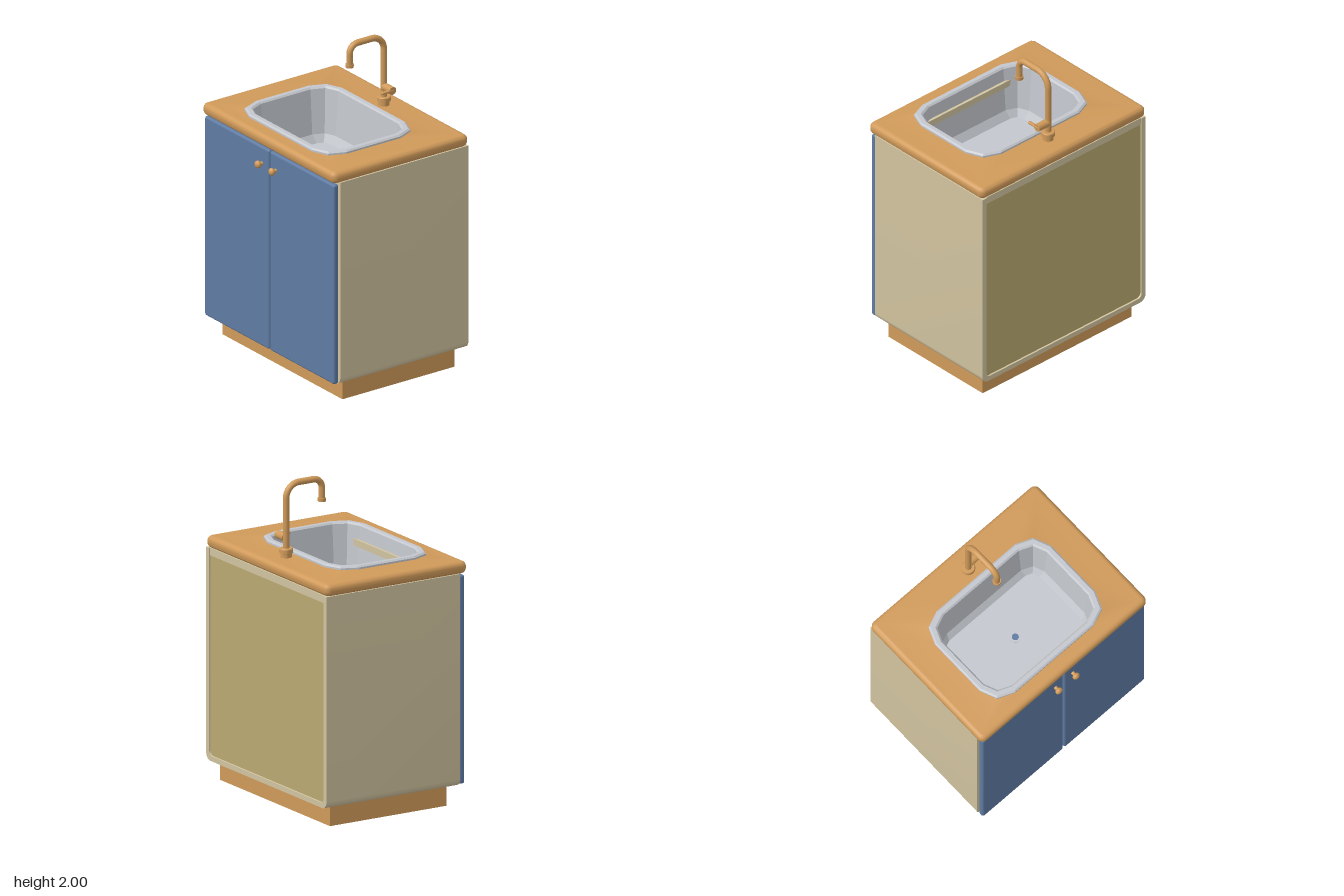
import * as THREE from 'three';
import { toCreasedNormals } from 'three/addons/utils/BufferGeometryUtils.js';
import { RoundedBoxGeometry } from 'three/addons/geometries/RoundedBoxGeometry.js';

const mat = (name, color, extra = {}) =>
  Object.assign(new THREE.MeshStandardMaterial({ color, ...extra }), { name });

// Closed outline of a rectangle with rounded corners, as [x, z] points
function outline(hx, z0, z1, r, seg = 2) {
  const pts = [];
  const corners = [[hx - r, z1 - r], [-hx + r, z1 - r], [-hx + r, z0 + r], [hx - r, z0 + r]];
  corners.forEach(([cx, cz], c) => {
    for (let i = 0; i <= seg; i++) {
      const a = (c + i / seg) * Math.PI / 2;
      pts.push([cx + r * Math.cos(a), cz + r * Math.sin(a)]);
    }
  });
  return pts;
}

// Skin between stacked outlines; the last one is closed with a fan
function basinGeometry(rows) {
  const pos = [], idx = [];
  const n = rows[0].pts.length;
  rows.forEach(({ pts, y }) => pts.forEach(([x, z]) => pos.push(x, y, z)));
  for (let j = 0; j < rows.length - 1; j++) {
    for (let i = 0; i < n; i++) {
      const k = (i + 1) % n;
      const a = j * n + i, b = j * n + k, c = a + n, d = b + n;
      idx.push(a, c, b, b, c, d);
    }
  }
  const base = (rows.length - 1) * n;
  for (let i = 1; i < n - 1; i++) idx.push(base, base + i + 1, base + i);
  const g = new THREE.BufferGeometry();
  g.setAttribute('position', new THREE.Float32BufferAttribute(pos, 3));
  g.setIndex(idx);
  const flat = g.toNonIndexed();
  flat.computeVertexNormals();
  return flat;
}

export function createModel() {
  const root = new THREE.Group();
  root.name = 'sinkCabinet';
  const wood = mat('warm wood', 0xd09a5a);
  const blue = mat('door blue', 0x5f7ba3);
  const cream = mat('carcass cream', 0xd2c4a0);
  const olive = mat('back panel olive', 0xb9a970);
  const steel = mat('sink grey', 0xc3c7cd, { side: THREE.DoubleSide });

  const add = (name, geometry, material, x = 0, y = 0, z = 0, parent = root) => {
    const m = new THREE.Mesh(geometry, material);
    m.name = name;
    m.position.set(x, y, z);
    parent.add(m);
    return m;
  };
  // Box given by its two extreme corners
  const box = (name, material, x0, x1, y0, y1, z0, z1) =>
    add(name, new THREE.BoxGeometry(x1 - x0, y1 - y0, z1 - z0), material,
      (x0 + x1) / 2, (y0 + y1) / 2, (z0 + z1) / 2);

  // Plinth
  box('plinth', wood, -0.61, 0.61, 0, 0.13, -0.46, 0.375);

  // Carcass: U-shaped section with rounded lower corners, open front and back
  const u = new THREE.Shape();
  const W = 0.667, B = 0.125, T = 1.452, t = 0.032, R = 0.045, r = 0.03;
  u.moveTo(-W, T);
  u.lineTo(-W, B + R);
  u.absarc(-W + R, B + R, R, Math.PI, Math.PI * 1.5, false);
  u.absarc(W - R, B + R, R, Math.PI * 1.5, Math.PI * 2, false);
  u.lineTo(W, T);
  u.lineTo(W - t, T);
  u.absarc(W - t - r, B + t + r, r, 0, -Math.PI / 2, true);
  u.absarc(-W + t + r, B + t + r, r, -Math.PI / 2, -Math.PI, true);
  u.lineTo(-W + t, T);
  const shell = new THREE.ExtrudeGeometry(u, { depth: 0.955, bevelEnabled: false, curveSegments: 6 });
  add('carcass', toCreasedNormals(shell, 0.6), cream, 0, 0, -0.522);
  box('backPanel', olive, -0.637, 0.637, 0.15, 1.41, -0.51, -0.49);
  box('backRail', cream, -0.637, 0.637, 1.405, 1.452, -0.515, -0.42);
  box('frontRail', cream, -0.637, 0.637, 1.41, 1.452, 0.32, 0.433);

  // Doors with knobs
  for (const s of [-1, 1]) {
    const side = s > 0 ? 'left' : 'right';
    add(side + 'Door', new RoundedBoxGeometry(0.655, 1.305, 0.04, 3, 0.014), blue, s * 0.331, 1.2875 - 0.5, 0.455);
    const knob = new THREE.Group();
    knob.name = side + 'Knob';
    knob.position.set(s * 0.07, 1.335, 0.475);
    root.add(knob);
    const stem = new THREE.CylinderGeometry(0.01, 0.013, 0.03, 16).rotateX(Math.PI / 2);
    add('knobStem', stem, wood, 0, 0, 0.01, knob);
    add('knobHead', new THREE.SphereGeometry(0.024, 20, 14).scale(1, 1, 0.75), wood, 0, 0, 0.032, knob);
  }

  // Countertop with rounded edge and sink cut-out
  const bevel = 0.03;
  const toV = ([x, z]) => new THREE.Vector2(x, -z);
  const top = new THREE.Shape(outline(0.675 - bevel, -0.525 + bevel, 0.487 - bevel, 0.01, 3).map(toV));
  top.holes.push(new THREE.Path(outline(0.464, -0.304, 0.384, 0.15).map(toV)));
  const slab = new THREE.ExtrudeGeometry(top, {
    depth: 0.015, bevelThickness: bevel, bevelSize: bevel, bevelSegments: 5,
  }).rotateX(-Math.PI / 2);
  add('countertop', toCreasedNormals(slab, 0.6), wood, 0, 1.45 + bevel, 0);

  // Sink: raised rim flowing into a tapered basin
  const row = (inset, y, rad) => ({
    y, pts: outline(0.47 - inset, -0.31 + inset, 0.39 - inset, rad),
  });
  add('sinkBasin', basinGeometry([
    row(0, 1.515, 0.15), row(0, 1.536, 0.15), row(0.01, 1.545, 0.145),
    row(0.036, 1.545, 0.125), row(0.046, 1.535, 0.12),
    row(0.07, 1.25, 0.1), row(0.1, 1.2, 0.06),
  ]), steel);
  add('drainRing', new THREE.CylinderGeometry(0.037, 0.037, 0.004, 24), steel, 0, 1.201, 0.04);
  add('drainHole', new THREE.CylinderGeometry(0.021, 0.021, 0.006, 24), blue, 0, 1.202, 0.04);

  // Tap
  const tap = new THREE.Group();
  tap.name = 'tap';
  tap.position.set(0, 1.525, -0.38);
  root.add(tap);
  const profile = [[0, 0], [0.034, 0], [0.034, 0.025], [0.042, 0.028], [0.042, 0.052], [0.038, 0.057], [0, 0.057]];
  const base = new THREE.LatheGeometry(profile.map(p => new THREE.Vector2(...p)), 28);
  add('tapBase', toCreasedNormals(base, 0.6), wood, 0, 0, 0, tap);

  // Spout pipe: post, bend, arm, bend, drop
  const v = (y, z) => new THREE.Vector3(0, y, z);
  const path = new THREE.CurvePath();
  const k = 0.45;
  path.add(new THREE.LineCurve3(v(0.04, 0), v(0.365, 0)));
  path.add(new THREE.CubicBezierCurve3(v(0.365, 0), v(0.365 + 0.09 * (1 - k), 0), v(0.455, 0.09 * k), v(0.455, 0.09)));
  path.add(new THREE.LineCurve3(v(0.455, 0.09), v(0.455, 0.195)));
  path.add(new THREE.CubicBezierCurve3(v(0.455, 0.195), v(0.455, 0.228), v(0.428, 0.255), v(0.395, 0.255)));
  path.add(new THREE.LineCurve3(v(0.395, 0.255), v(0.325, 0.255)));
  add('spout', new THREE.TubeGeometry(path, 90, 0.02, 16), wood, 0, 0, 0, tap);
  add('spoutTip', new THREE.CylinderGeometry(0.026, 0.025, 0.02, 24), wood, 0, 0.32, 0.255, tap);

  // Side valve with lever
  const valve = new THREE.CylinderGeometry(0.025, 0.025, 0.085, 24).rotateZ(Math.PI / 2);
  add('valveBody', valve, wood, 0.05, 0.12, 0, tap);
  add('lever', new RoundedBoxGeometry(0.022, 0.016, 0.09, 3, 0.007), wood, 0.084, 0.12, 0.036, tap);

  return root;
}
